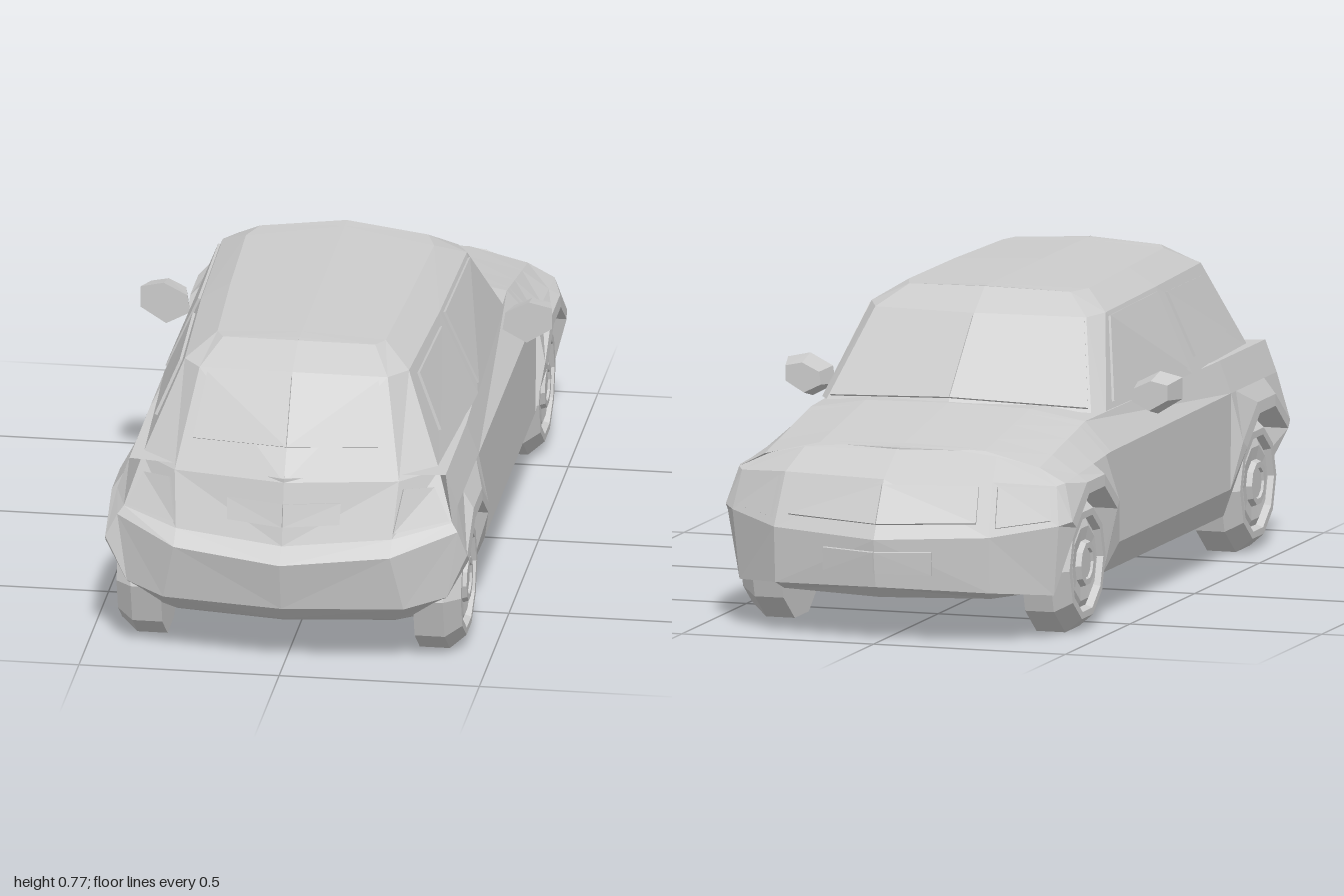
import * as THREE from 'three';

const material = new THREE.MeshStandardMaterial({ color: 0xcccccc, flatShading: true });
const V = (x, y, z) => new THREE.Vector3(x, y, z);
const lerp = THREE.MathUtils.lerp;
const WHEEL = { y: 0.166, rear: 0.70, front: -0.62 };

// Mesh made of quads on the +x half plus their mirror images
function mirroredMesh(name, quads) {
  const out = [];
  const tri = (a, b, c) => {
    const area = b.clone().sub(a).cross(c.clone().sub(a)).length();
    if (area > 1e-7) for (const p of [a, b, c]) out.push(p.x, p.y, p.z);
  };
  const flip = (p) => V(-p.x, p.y, p.z);
  for (const [a, b, c, d] of quads) {
    tri(a, b, c); tri(a, c, d);
    tri(flip(c), flip(b), flip(a)); tri(flip(d), flip(c), flip(a));
  }
  const g = new THREE.BufferGeometry();
  g.setAttribute('position', new THREE.Float32BufferAttribute(out, 3));
  g.computeVertexNormals();
  const mesh = new THREE.Mesh(g, material);
  mesh.name = name;
  return mesh;
}

// Skin between stacked half outlines, each running from rear centre to front centre
function skin(rows) {
  const quads = [];
  for (let r = 0; r < rows.length - 1; r++)
    for (let c = 0; c < rows[r].length - 1; c++)
      quads.push([rows[r][c], rows[r][c + 1], rows[r + 1][c + 1], rows[r + 1][c]]);
  return quads;
}

// Thin raised panel lying on one patch of a skin; corners are (u, v) pairs
function panel(name, rows, r, c, uv, depth = 0.007) {
  const at = ([u, v]) => rows[r][c].clone().lerp(rows[r][c + 1], u)
    .lerp(rows[r + 1][c].clone().lerp(rows[r + 1][c + 1], u), v);
  const p = uv.map(at);
  const n = p[2].clone().sub(p[0]).cross(p[3].clone().sub(p[1])).normalize();
  const base = p.map((q) => q.clone().addScaledVector(n, -depth));
  const top = p.map((q) => q.clone().addScaledVector(n, depth));
  const quads = [top];
  for (let i = 0; i < 4; i++) {
    const j = (i + 1) % 4;
    quads.push([base[i], base[j], top[j], top[i]]);
  }
  return mirroredMesh(name, quads);
}
const rect = (u0, u1, v0, v1) => [[u0, v0], [u1, v0], [u1, v1], [u0, v1]];

// Lower body outlines: underside, well, lower edge, flare, belt, shoulder, bonnet
function bodyRows() {
  // End points are centre, mid, corner
  const rear = [
    [V(0, 0.12, 0.92), V(0.28, 0.12, 0.88), V(0.32, 0.12, 0.85)],
    [V(0, 0.165, 0.97), V(0.30, 0.165, 0.93), V(0.40, 0.18, 0.87)],
    [V(0, 0.29, 1.0), V(0.27, 0.31, 0.96), V(0.425, 0.35, 0.86)],
    [V(0, 0.325, 0.955), V(0.27, 0.345, 0.92), V(0.41, 0.37, 0.85)],
    [V(0, 0.48, 0.92), V(0.28, 0.48, 0.87), V(0.37, 0.49, 0.80)],
  ];
  const front = [
    [V(0, 0.11, -0.95), V(0.27, 0.11, -0.89), V(0.32, 0.11, -0.80)],
    [V(0, 0.14, -0.985), V(0.28, 0.13, -0.93), V(0.41, 0.115, -0.82)],
    [V(0, 0.26, -1.0), V(0.28, 0.27, -0.94), V(0.425, 0.29, -0.83)],
    [V(0, 0.40, -0.92), V(0.27, 0.40, -0.88), V(0.41, 0.385, -0.80)],
    [V(0, 0.46, -0.82), V(0.25, 0.45, -0.79), V(0.35, 0.425, -0.76)],
  ];
  const nose = (z) => THREE.MathUtils.clamp((-0.36 - z) / 0.42, 0, 1);
  // Side column at an angle round a wheel arch
  const column = (zc, deg, sill) => {
    const a = THREE.MathUtils.degToRad(deg), c = Math.cos(a), s = Math.sin(a);
    const z = zc + 0.195 * c, y = WHEEL.y + 0.195 * s, n = nose(z);
    return [
      sill ? V(0.39, 0.11, z) : V(0.31, y, z),
      sill ? V(0.405, 0.112, z) : V(0.455, y, z),
      sill ? V(0.435, 0.185, zc + 0.23 * c) : V(0.452, WHEEL.y + 0.225 * s, zc + 0.225 * c),
      V(0.425, lerp(0.42, 0.39, n), z),
      V(z > 0 ? 0.395 : 0.358, lerp(0.5, 0.425, n), z),
    ];
  };
  const columns = [];
  for (let d = 36; d <= 180; d += 36) columns.push(column(WHEEL.rear, d, d === 180));
  for (let d = 0; d < 180; d += 36) columns.push(column(WHEEL.front, d, d === 0));
  const rows = rear.map((e, r) => [...e, ...columns.map((c) => c[r]), ...front[r].slice().reverse()]);
  const underside = rows[0].map((p) => V(p.x * 0.97, 0.11, p.z * 0.98));
  const crown = (z) => z > -0.36 ? 0.49 : lerp(0.522, 0.46, nose(z));
  const bonnet = rows[4].map((p) => V(p.x * 0.6, crown(p.z), p.z));
  const bonnetRidge = bonnet.map((p) => V(0, p.y + 0.004, p.z));
  const floorLine = underside.map((p) => V(0, p.y, p.z));
  return [floorLine, underside, ...rows, bonnet, bonnetRidge];
}

// Cabin outlines: base, roof edge, roof crown, ridge
function cabinRows() {
  const base = [V(0, 0.48, 0.92), V(0.28, 0.48, 0.87), V(0.37, 0.49, 0.80), V(0.393, 0.5, 0.3),
    V(0.37, 0.495, -0.30), V(0.345, 0.495, -0.34), V(0, 0.518, -0.42)];
  const edge = [V(0, 0.718, 0.775), V(0.235, 0.71, 0.755), V(0.28, 0.71, 0.70), V(0.298, 0.712, 0.3),
    V(0.305, 0.71, -0.11), V(0.275, 0.705, -0.17), V(0, 0.71, -0.22)];
  const crown = [V(0, 0.765, 0.68), V(0.19, 0.757, 0.66), V(0.21, 0.755, 0.62), V(0.225, 0.757, 0.3),
    V(0.235, 0.755, -0.03), V(0.21, 0.755, -0.10), V(0, 0.765, -0.14)];
  const ridge = crown.map((p) => V(0, 0.766, p.z));
  return [base, edge, crown, ridge];
}

// Ten-sided tyre with recessed rim and raised hub
function wheel(name, side, z) {
  const profile = [[0, 0.315], [0.175, 0.315], [0.175, 0.39], [0.14, 0.43], [0.122, 0.43], [0.115, 0.412],
    [0.095, 0.422], [0.06, 0.418], [0.055, 0.432], [0.04, 0.432], [0.037, 0.426], [0, 0.426]];
  const g = new THREE.LatheGeometry(profile.map(([r, x]) => new THREE.Vector2(r, x)), 10);
  g.rotateZ(-Math.PI / 2);
  if (side < 0) g.rotateY(Math.PI);
  const mesh = new THREE.Mesh(g, material);
  mesh.position.set(0, WHEEL.y, z);
  mesh.name = name;
  return mesh;
}

// Faceted door mirror, narrower at its front
function doorMirrors() {
  const outline = [[0.39, 0.5], [0.45, 0.468], [0.514, 0.508], [0.514, 0.562], [0.456, 0.575], [0.397, 0.545]];
  const back = outline.map(([x, y]) => V(x, y, -0.135));
  const front = outline.map(([x, y]) => V(lerp(0.45, x, 0.75), lerp(0.525, y, 0.7), -0.205));
  const quads = [];
  for (let i = 0; i < 6; i++) {
    const j = (i + 1) % 6;
    quads.push([front[i], front[j], back[j], back[i]]);
  }
  for (const i of [0, 3]) {
    const k = [i, i + 1, i + 2, (i + 3) % 6];
    quads.push(k.map((n) => back[n]), k.map((n) => front[n]).reverse());
  }
  return mirroredMesh('doorMirrors', quads);
}

export function createModel() {
  const car = new THREE.Group();
  car.name = 'hatchback';
  const body = bodyRows(), cabin = cabinRows();
  car.add(mirroredMesh('body', skin(body)), mirroredMesh('cabin', skin(cabin)));

  // Glass
  car.add(
    panel('rearWindow', cabin, 0, 0, rect(0, 0.9, 0.32, 0.96)),
    panel('rearSideWindows', cabin, 0, 2, [[0.2, 0.25], [0.88, 0.15], [0.88, 0.9], [0.15, 0.88]]),
    panel('doorWindows', cabin, 0, 3, [[0.05, 0.07], [0.93, 0.07], [0.95, 0.95], [0.05, 0.95]]),
    panel('windscreen', cabin, 0, 5, rect(0.02, 1, 0.04, 0.96), 0.005),
  );

  // Lamps, plates and grille
  car.add(
    panel('tailLamps', body, 5, 1, [[0.0, 0.1], [0.95, 0.05], [0.8, 0.72], [0.12, 0.84]]),
    panel('rearPlate', body, 5, 0, rect(0, 0.51, 0.3, 0.66)),
    panel('headLamps', body, 4, 13, rect(0.12, 0.92, 0.15, 0.92)),
    panel('grille', body, 4, 14, rect(0.12, 1, 0.25, 0.9)),
    panel('frontPlate', body, 3, 14, rect(0.5, 1, 0.3, 0.75), 0.01),
  );

  car.add(doorMirrors());
  for (const side of [1, -1]) {
    const label = side > 0 ? 'Left' : 'Right';
    car.add(wheel('rearWheel' + label, side, WHEEL.rear), wheel('frontWheel' + label, side, WHEEL.front));
  }
  return car;
}
